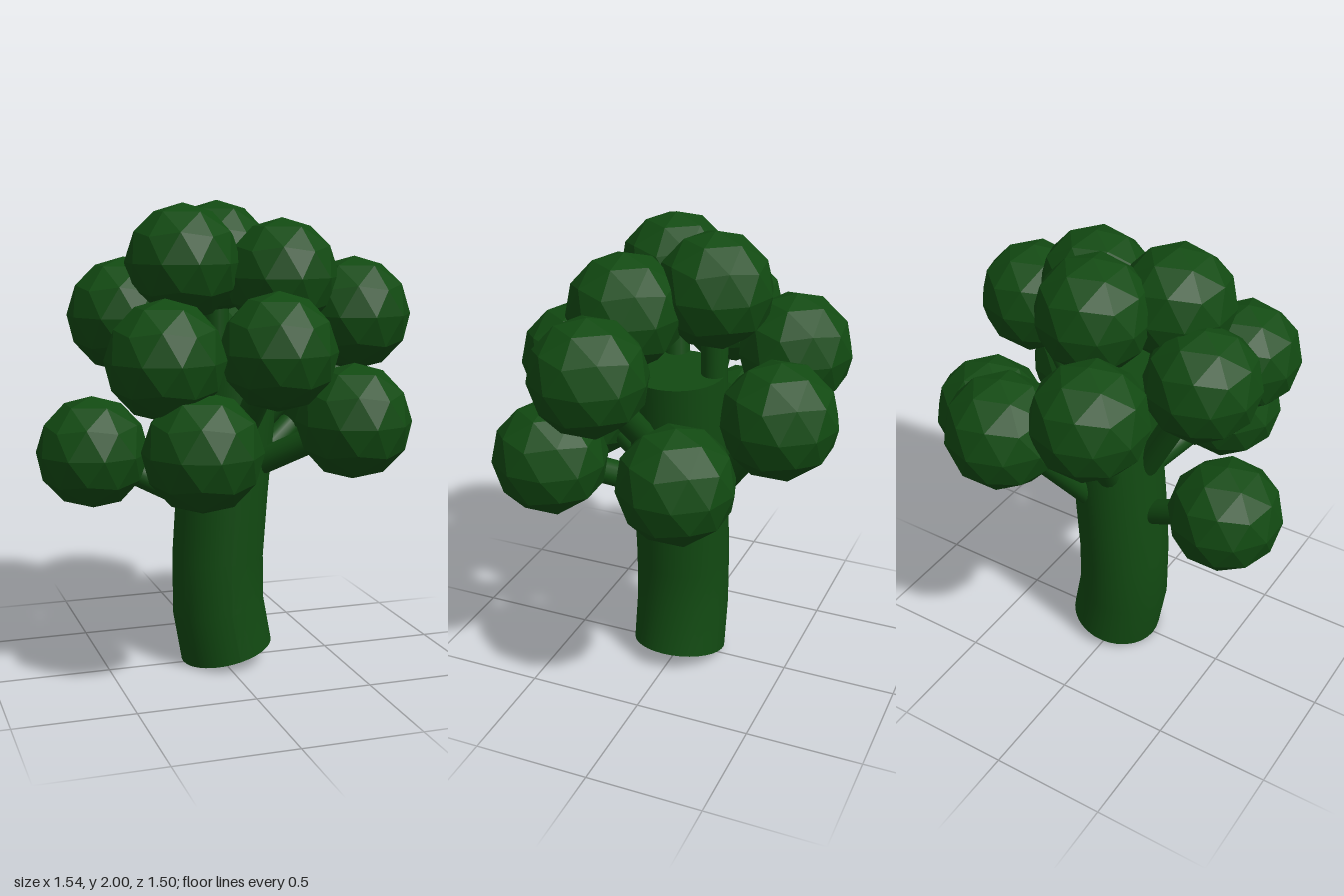
import * as THREE from 'three';

const green = new THREE.MeshStandardMaterial({ color: 0x124a12 });
const leafGreen = new THREE.MeshStandardMaterial({ color: 0x124a12, flatShading: true });

// Trunk rings, bottom to top: centre x, centre y, tilt of the ring (rise per unit of x)
const RINGS = [
  [0.03, 0.05, 0.23], [-0.008, 0.26, 0.2], [-0.01, 0.48, 0.0],
  [0.01, 0.77, -0.08], [0.04, 1.1, -0.09], [0.06, 1.4, -0.05],
];

// Leaf balls: x, y, z of the centre, then the height where the branch leaves the trunk
const BALLS = [
  [-0.54, 0.95, -0.08, 0.75], [-0.23, 1.04, 0.51, 0.87],
  [0.45, 1.11, 0.39, 0.9], [0.54, 1.14, -0.2, 0.86],
  [0.24, 1.34, -0.51, 0.84], [-0.13, 1.49, -0.45, 0.98],
  [-0.4, 1.53, -0.06, 1.0], [-0.35, 1.39, 0.41, 1.02],
  [0.11, 1.41, 0.42, 1.08], [0.54, 1.53, 0.16, 1.1],
  [0.22, 1.69, 0.15, 1.25], [-0.19, 1.75, 0.1, 1.25],
  [0.035, 1.76, -0.16, 1.2],
];

// Centre x of the trunk at a given height
function trunkX(y) {
  let i = 0;
  while (i < RINGS.length - 2 && RINGS[i + 1][1] < y) i++;
  const [a, b] = [RINGS[i], RINGS[i + 1]];
  return THREE.MathUtils.lerp(a[0], b[0], (y - a[1]) / (b[1] - a[1]));
}

// A cylinder whose rings are shifted and tilted along the bent trunk
function trunkGeometry() {
  const n = RINGS.length - 1;
  const geo = new THREE.CylinderGeometry(0.197, 0.197, n, 32, n);
  const pos = geo.attributes.position;
  for (let i = 0; i < pos.count; i++) {
    const [cx, cy, tilt] = RINGS[Math.round(pos.getY(i) + n / 2)];
    const x = pos.getX(i);
    pos.setXYZ(i, cx + x, cy + x * tilt, pos.getZ(i) * 1.045 - 0.004);
  }
  geo.computeVertexNormals();
  return geo;
}

// A round-ended branch between two points
function branch(from, to) {
  const dir = to.clone().sub(from);
  const mesh = new THREE.Mesh(new THREE.CapsuleGeometry(0.055, dir.length(), 6, 16), green);
  mesh.position.copy(from).addScaledVector(dir, 0.5);
  mesh.quaternion.setFromUnitVectors(new THREE.Vector3(0, 1, 0), dir.normalize());
  mesh.name = 'branch';
  return mesh;
}

export function createModel() {
  const tree = new THREE.Group();
  tree.name = 'tree';

  const trunk = new THREE.Mesh(trunkGeometry(), green);
  trunk.name = 'trunk';
  tree.add(trunk);

  // Faceted ball with a corner pointing straight up
  const ballGeo = new THREE.IcosahedronGeometry(0.24, 1);
  ballGeo.rotateZ(-Math.atan(2 / (1 + Math.sqrt(5))));

  for (const [x, y, z, rootY] of BALLS) {
    const centre = new THREE.Vector3(x, y, z);
    const ball = new THREE.Mesh(ballGeo, leafGreen);
    ball.position.copy(centre);
    ball.name = 'leafBall';

    // The branch starts just inside the bark, on the side facing its ball
    const rootX = trunkX(rootY);
    const out = new THREE.Vector3(x - rootX, 0, z).normalize();
    const root = new THREE.Vector3(rootX, rootY, 0).addScaledVector(out, 0.16);
    tree.add(ball, branch(root, centre));
  }
  return tree;
}
